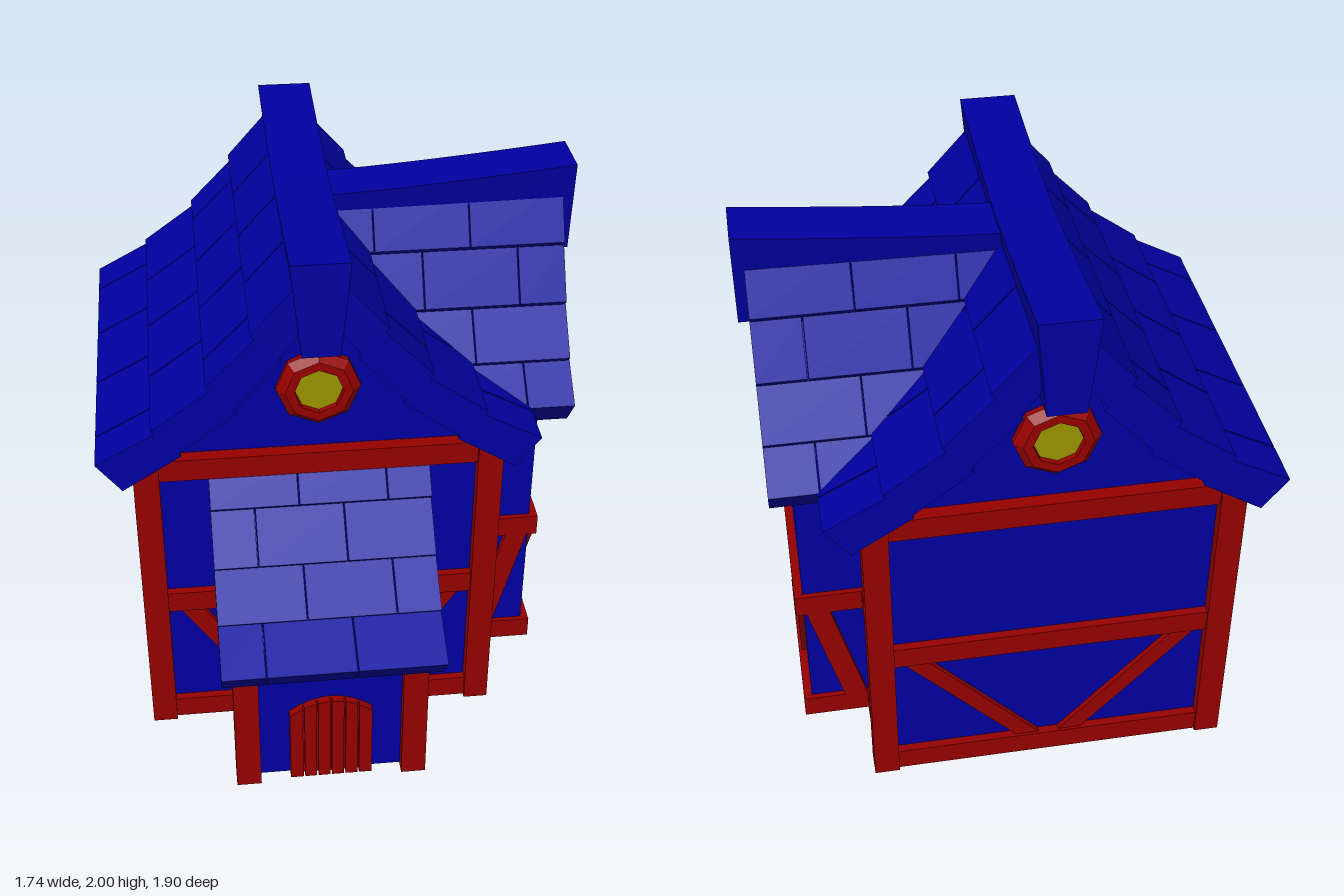
import * as THREE from 'three';

const mat = (color) => new THREE.MeshStandardMaterial({ color, flatShading: true });
const BLUE = mat(0x0000a0), RED = mat(0x960000), YELLOW = mat(0x9c9400);

function add(parent, name, geometry, material) {
  const mesh = new THREE.Mesh(geometry, material);
  mesh.name = name;
  parent.add(mesh);
  return mesh;
}

// Box given by its limits
function box(parent, name, x0, x1, y0, y1, z0, z1, material) {
  const g = new THREE.BoxGeometry(x1 - x0, y1 - y0, z1 - z0);
  g.translate((x0 + x1) / 2, (y0 + y1) / 2, (z0 + z1) / 2);
  return add(parent, name, g, material);
}

// Solid walls on a thin footing that leaves the underside recessed
function walls(parent, name, x0, x1, y1, z0, z1) {
  const t = 0.04, y = 0.055;
  box(parent, name, x0, x1, y, y1, z0, z1, BLUE);
  for (const x of [x0, x1 - t]) box(parent, name + 'Footing', x, x + t, 0.012, y, z0, z1, BLUE);
  for (const z of [z0, z1 - t]) box(parent, name + 'Footing', x0 + t, x1 - t, 0.012, y, z, z + t, BLUE);
}

// Polygon in x/y extruded from z0 to z1
function prism(parent, name, pts, z0, z1, material) {
  const shape = new THREE.Shape(pts.map(([x, y]) => new THREE.Vector2(x, y)));
  const g = new THREE.ExtrudeGeometry(shape, { depth: z1 - z0, bevelEnabled: false });
  g.translate(0, 0, z0);
  return add(parent, name, g, material);
}

// Group whose local z runs outward from a wall
function frame(parent, name, x, z, turn) {
  const g = new THREE.Group();
  g.name = name;
  g.position.set(x, 0, z);
  g.rotation.y = turn;
  parent.add(g);
  return g;
}

// Slanted timber on a wall: u0 at the middle beam, u1 at the sill
function brace(wall, u0, u1) {
  const w = 0.042;
  prism(wall, 'brace', [[u0 - w, 0.54], [u1 - w, 0.08], [u1 + w, 0.08], [u0 + w, 0.54]], -0.02, 0.02, RED);
}

// Tile courses: outer lower and outer upper corner as distance from ridge and height
const COURSES = [
  [0.773, 1.25, 0.565, 1.362], [0.577, 1.375, 0.37, 1.525],
  [0.385, 1.54, 0.215, 1.715], [0.23, 1.73, 0.07, 1.91],
];
const WING_COURSES = COURSES.map(([a, y0, b, y1]) => [a * 0.62 + 0.022, y0, b * 0.62 + 0.022, y1]);
const PORCH_COURSES = [
  [0.95, 0.67, 0.755, 0.755], [0.773, 0.762, 0.615, 0.88],
  [0.628, 0.893, 0.48, 1.033], [0.49, 1.046, 0.38, 1.17],
];

// Staggered tiles from z0 to z1, laid from the z1 end
function tiles(parent, courses, sides, z0, z1, unit) {
  const dx = 0.087, gap = 0.0025;
  courses.forEach(([d0, y0, d1, y1], row) => {
    const dy = row ? 0.102 : 0.114;
    let end = z1, width = row % 2 ? unit : unit / 2;
    while (end > z0 + 0.01) {
      const start = Math.max(z0, end - width);
      for (const s of sides) {
        const corners = [[d0, y0], [d1, y1], [Math.max(0, d1 - dx), y1 - 0.095], [d0 - dx, y0 - dy]];
        prism(parent, 'roofTile', corners.map(([d, y]) => [d * s, y]), start + gap, end - gap, BLUE);
      }
      end = start;
      width = unit;
    }
  });
}

// Deep tapering ridge beam with a curved top
function ridge(parent, z0, z1, topAt) {
  const g = new THREE.BoxGeometry(0.2, 1, z1 - z0, 1, 1, 8);
  g.translate(0, 0, (z0 + z1) / 2);
  const p = g.attributes.position;
  for (let i = 0; i < p.count; i++) {
    const top = p.getY(i) > 0;
    p.setY(i, top ? topAt(p.getZ(i)) : 1.655);
    if (!top) p.setX(i, p.getX(i) * 0.65);
  }
  add(parent, 'ridgeBeam', g, BLUE);
}

// Octagonal window on a wall frame
function roundWindow(wall) {
  const ring = [[0.146, -0.04], [0.146, 0], [0.117, 0.028], [0.085, 0.028], [0.08, -0.01]];
  const g = new THREE.LatheGeometry(ring.map(([r, y]) => new THREE.Vector2(r, y)), 8);
  g.rotateX(Math.PI / 2);
  add(wall, 'windowFrame', g, RED).position.y = 1.465;
  const pane = new THREE.CylinderGeometry(0.086, 0.086, 0.04, 8);
  pane.rotateX(Math.PI / 2);
  add(wall, 'windowPane', pane, YELLOW).position.set(0, 1.465, -0.01);
}

// Symmetrical outline from its right half
const mirrored = (half) => [...half, ...half.map(([d, y]) => [-d, y]).reverse()];

export function createModel() {
  const house = new THREE.Group();
  house.name = 'house';
  const C = -0.1, Z = -0.22, H = Math.PI / 2;

  // Main body and side wing
  walls(house, 'mainWalls', -0.71, 0.51, 1.2, -0.83, 0.39);
  walls(house, 'wingWalls', 0.47, 0.75, 1.2, -0.53, 0.09);
  box(house, 'mainFloor', -0.67, 0.47, 0.045, 0.07, -0.79, 0.35, RED);

  // Corner posts
  for (const x of [-0.75, 0.46])
    for (const z of [-0.87, 0.345]) box(house, 'cornerPost', x, x + 0.09, 0, 1.2, z, z + 0.09, RED);

  // Horizontal timbers around main body and wing
  const LEVELS = [[0.004, 0.09], [0.535, 0.62], [1.13, 1.215]];
  for (const [y0, y1] of LEVELS) {
    for (const z of [-0.86, 0.36]) box(house, 'crossBeam', -0.7, 0.5, y0, y1, z, z + 0.06, RED);
    box(house, 'sideBeam', -0.74, -0.68, y0, y1, -0.83, 0.39, RED);
    box(house, 'sideBeam', 0.48, 0.54, y0, y1, -0.83, 0.39, RED);
    box(house, 'wingBeam', 0.72, 0.78, y0, y1, -0.55, 0.11, RED);
    for (const z of [-0.55, 0.06]) box(house, 'wingSideBeam', 0.5, 0.77, y0, y1, z, z + 0.05, RED);
  }

  // Braces and windows on each wall
  const front = frame(house, 'frontWall', C, 0.39, 0);
  const back = frame(house, 'backWall', C, -0.83, Math.PI);
  const left = frame(house, 'wingEndWall', 0.75, Z, H);
  const inner = frame(house, 'wingSideOfMain', 0.51, Z, H);
  const right = frame(house, 'plainSideWall', -0.71, Z, -H);
  for (const s of [-1, 1]) {
    brace(front, 0.48 * s, 0.18 * s);
    brace(back, 0.49 * s, 0.07 * s);
    brace(right, 0.49 * s, 0.07 * s);
    brace(left, 0.275 * s, 0.025 * s);
    brace(inner, 0.515 * s, 0.33 * s);
    const wingSide = frame(house, 'wingSideWall', 0, s > 0 ? 0.09 : -0.53, s > 0 ? 0 : Math.PI);
    brace(wingSide, 0.7 * s, 0.58 * s);
  }
  [front, back, left].forEach(roundWindow);

  // Main roof
  const mainRoof = frame(house, 'mainRoof', C, 0, 0);
  prism(mainRoof, 'mainGable',
    mirrored([[0.61, 1.19], [0.61, 1.22], [0.5, 1.32], [0.3, 1.5], [0.1, 1.77]]), -0.81, 0.37, BLUE);
  tiles(mainRoof, COURSES, [-1, 1], -0.912, 0.468, 0.345);
  ridge(mainRoof, -0.95, 0.5, (z) => 1.945 + 0.055 * Math.pow(Math.abs(z + 0.225) / 0.725, 1.3));

  // Wing roof, crossing into the main roof
  const wingRoof = frame(house, 'wingRoof', 0, Z, H);
  prism(wingRoof, 'wingGable',
    mirrored([[0.31, 1.19], [0.34, 1.24], [0.3, 1.32], [0.2, 1.5], [0.07, 1.77]]), 0, 0.73, BLUE);
  tiles(wingRoof, WING_COURSES, [-1, 1], 0, 0.835, 0.345);
  ridge(wingRoof, -0.1, 0.87, (x) => 1.93 + 0.07 * Math.pow(Math.max(x, 0) / 0.87, 1.3));

  // Porch
  const porch = frame(house, 'porch', C, 0, -H);
  walls(house, 'porchWalls', -0.41, 0.21, 0.6, 0.38, 0.76);
  prism(porch, 'porchUpperWalls',
    [[0.38, 0.58], [0.76, 0.58], [0.76, 0.63], [0.6, 0.76], [0.38, 1.0]], -0.31, 0.31, BLUE);
  tiles(porch, PORCH_COURSES, [1], -0.392, 0.392, 0.313);
  box(house, 'porchFloor', -0.37, 0.17, 0.045, 0.07, 0.42, 0.72, RED);
  box(house, 'porchFrontBeam', -0.42, 0.22, 0.535, 0.62, 0.73, 0.785, RED);
  for (const s of [-1, 1]) {
    const x = C + 0.305 * s;
    box(house, 'porchPost', x - 0.045, x + 0.045, 0, 0.62, 0.71, 0.8, RED);
    for (const [y0, y1] of LEVELS.slice(0, 2))
      box(house, 'porchSideBeam', x - 0.03, x + 0.035, y0, y1, 0.38, 0.75, RED);
    const side = frame(house, 'porchSideWall', C + 0.31 * s, 0, H * s);
    brace(side, -0.67 * s, -0.44 * s);
  }

  // Arched plank door
  const door = frame(house, 'door', C, 0.76, 0);
  const arch = (x) => 0.32 + 0.06 * (1 - (x / 0.15) ** 2);
  const outline = (x0, x1, lift) => {
    const pts = [[x0, 0.008], [x1, 0.008]];
    for (let i = 0; i <= 6; i++) {
      const x = x1 + ((x0 - x1) * i) / 6;
      pts.push([x, arch(x) + lift]);
    }
    return pts;
  };
  prism(door, 'doorPanel', outline(-0.148, 0.148, -0.002), -0.02, 0.008, RED);
  for (let i = 0; i < 6; i++) {
    const x = -0.15 + i * 0.05;
    prism(door, 'doorPlank', outline(x + (i ? 0.003 : 0), x + (i < 5 ? 0.047 : 0.05), 0), -0.01, 0.03, RED);
  }
  return house;
}
